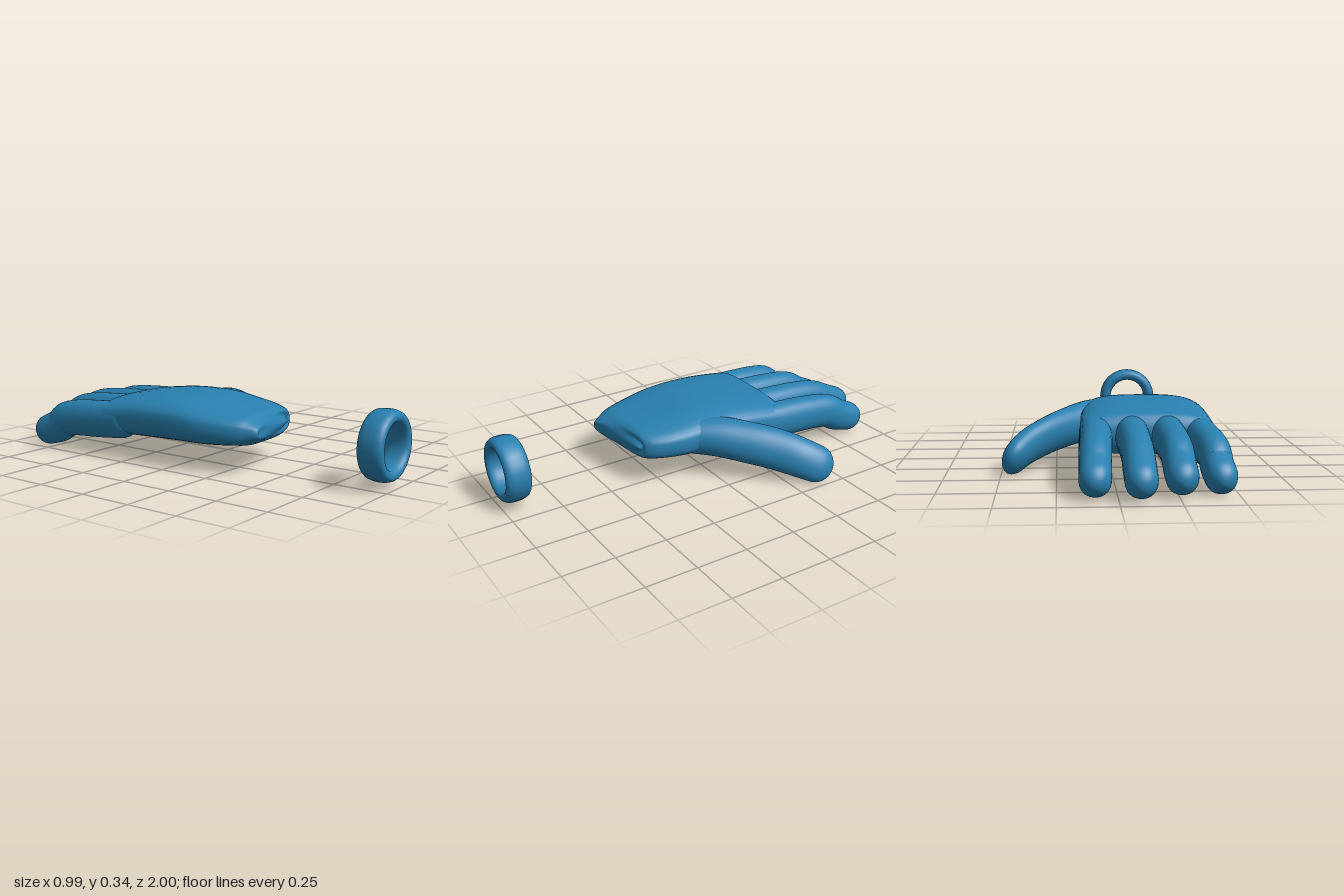
import * as THREE from 'three';

const material = new THREE.MeshStandardMaterial({ color: 0x2980b0 });

// Smooth loft through rows [x, y, z, halfWidth, halfHeight] with rounded ends.
// power: 2 = ellipse, higher = boxier; keepWidth rounds the ends in height only.
function loft(name, rows, { up = [0, 1, 0], power = 2, round = 0.07, keepWidth = false } = {}) {
  const path = new THREE.CatmullRomCurve3(rows.map(r => new THREE.Vector3(r[0], r[1], r[2])), false, 'catmullrom');
  const sizes = new THREE.CatmullRomCurve3(rows.map(r => new THREE.Vector3(r[3], r[4], 0)), false, 'catmullrom');
  const ref = new THREE.Vector3(...up);
  const start = path.getPoint(0), end = path.getPoint(1);
  const steps = 44, sides = 36, positions = [], index = [];
  const bulge = v => Math.sign(v) * Math.abs(v) ** (2 / power);

  for (let i = 0; i <= steps; i++) {
    const t = (1 - Math.cos(Math.PI * i / steps)) / 2;
    const c = path.getPoint(t), size = sizes.getPoint(t), tangent = path.getTangent(t);
    const side = tangent.clone().cross(ref).normalize();
    const rise = side.clone().cross(tangent).normalize();
    const d = Math.min(1, c.distanceTo(start) / round, c.distanceTo(end) / round);
    const taper = Math.sqrt(Math.max(0, 1 - (1 - d) ** 2));
    for (let j = 0; j < sides; j++) {
      const a = j / sides * Math.PI * 2;
      const p = c.clone()
        .addScaledVector(side, bulge(Math.cos(a)) * size.x * (keepWidth ? 1 : taper))
        .addScaledVector(rise, bulge(Math.sin(a)) * size.y * taper);
      positions.push(p.x, p.y, p.z);
      if (i < steps) {
        const k = i * sides + j, l = i * sides + (j + 1) % sides;
        index.push(k, k + sides, l, l, k + sides, l + sides);
      }
    }
  }
  const geometry = new THREE.BufferGeometry();
  geometry.setAttribute('position', new THREE.Float32BufferAttribute(positions, 3));
  geometry.setIndex(index);
  geometry.computeVertexNormals();
  const mesh = new THREE.Mesh(geometry, material);
  mesh.name = name;
  return mesh;
}

// Finger from inside the palm to a drooping round tip
function finger(name, x0, x1, tipZ, drop = 0) {
  const at = (z, y, w, h) => {
    const s = (z + 0.45) / (tipZ + 0.45);
    return [x0 + (x1 - x0) * Math.max(0, s), y - drop, z, w, h];
  };
  return loft(name, [
    at(-0.25, 0.198, 0.068, 0.08),
    at(-0.45, 0.188, 0.075, 0.09),
    at((tipZ - 0.45) / 2, 0.17, 0.07, 0.087),
    at(tipZ + 0.14, 0.122, 0.069, 0.082),
    at(tipZ, 0.075, 0.066, 0.068)
  ], { power: 2.2, round: 0.075 });
}

export function createModel() {
  const model = new THREE.Group();
  const hand = new THREE.Group();
  hand.name = 'hand';
  model.add(hand);

  // Palm, from the wrist edge to the knuckles
  hand.add(loft('palm', [
    [-0.16, 0.2, 0.38, 0.165, 0.06],
    [-0.165, 0.2, 0.35, 0.205, 0.07],
    [-0.167, 0.201, 0.28, 0.247, 0.08],
    [-0.165, 0.206, 0.15, 0.283, 0.094],
    [-0.165, 0.215, 0, 0.295, 0.105],
    [-0.163, 0.211, -0.2, 0.302, 0.106],
    [-0.16, 0.19, -0.45, 0.31, 0.093]
  ], { power: 3, round: 0.06, keepWidth: true }));

  hand.add(
    finger('littleFinger', -0.4, -0.432, -0.88, 0.012),
    finger('ringFinger', -0.25, -0.26, -0.94),
    finger('middleFinger', -0.088, -0.088, -1),
    finger('indexFinger', 0.076, 0.097, -0.94, 0.006)
  );

  // Thumb, a tilted flattened sweep
  hand.add(loft('thumb', [
    [-0.02, 0.205, 0.13, 0.09, 0.085],
    [0.1, 0.2, -0.03, 0.095, 0.097],
    [0.2, 0.185, -0.13, 0.08, 0.1],
    [0.3, 0.16, -0.235, 0.069, 0.1],
    [0.395, 0.12, -0.335, 0.063, 0.095],
    [0.473, 0.06, -0.45, 0.05, 0.085]
  ], { up: [-0.35, 1, -0.35], round: 0.08 }));

  // Separate finger band with a rounded section
  const profile = [];
  for (let i = 0; i <= 28; i++) {
    const a = i / 28 * Math.PI * 2, c = Math.cos(a), s = Math.sin(a);
    profile.push(new THREE.Vector2(
      0.127 + 0.03 * Math.sign(c) * Math.abs(c) ** 0.8,
      0.06 * Math.sign(s) * Math.abs(s) ** 0.8
    ));
  }
  const band = new THREE.Mesh(new THREE.LatheGeometry(profile, 24), material);
  band.name = 'band';
  band.rotation.x = Math.PI / 2;
  band.position.set(-0.162, 0.192, 0.94);
  model.add(band);

  return model;
}
